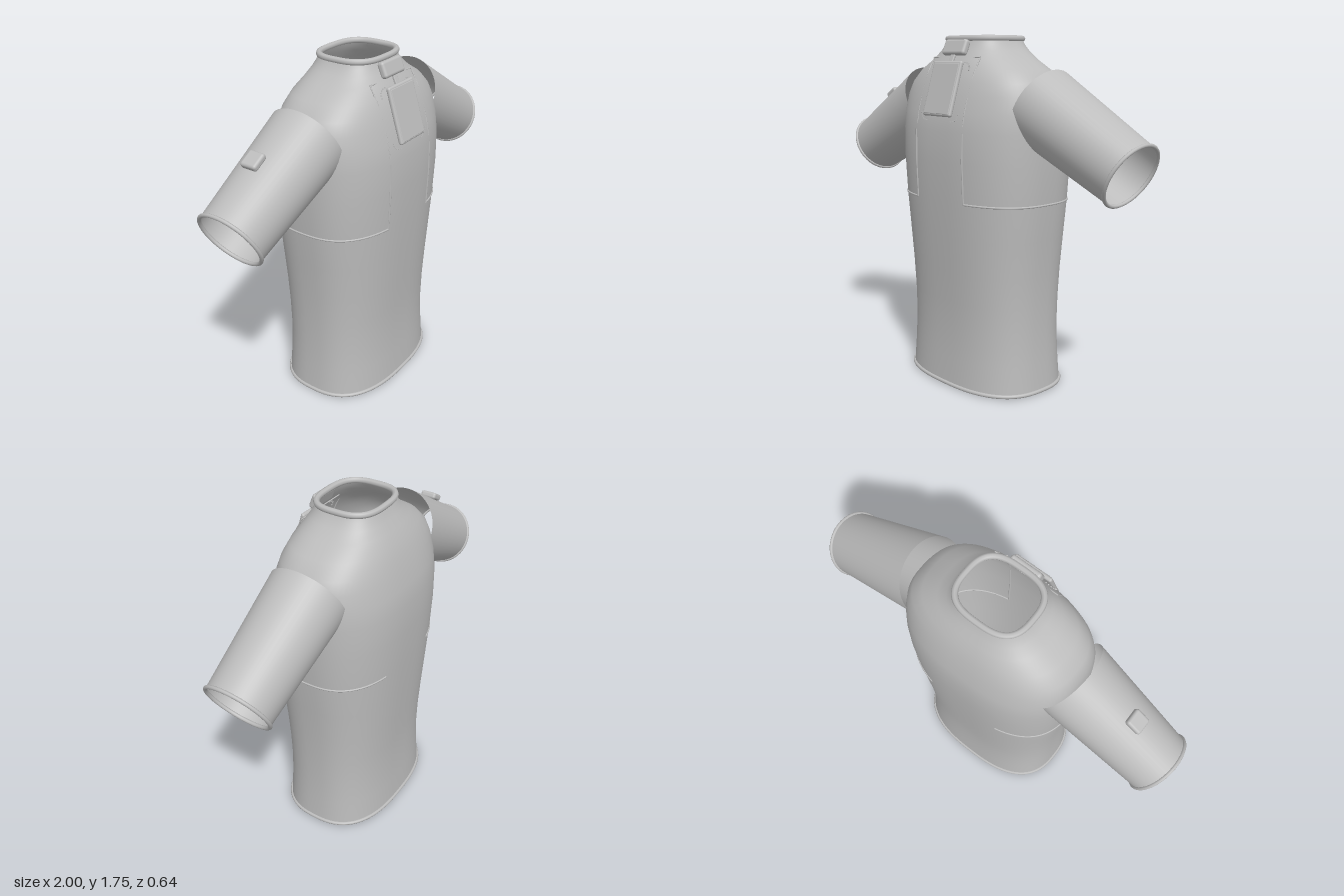
import * as THREE from 'three';
import { RoundedBoxGeometry } from 'three/addons/geometries/RoundedBoxGeometry.js';

// Torso sections: height, half width, half depth, squareness
const RINGS = [
  [0.01, 0.422, 0.292, 2.6], [0.15, 0.412, 0.283, 2.6], [0.3, 0.406, 0.277, 2.6], [0.45, 0.408, 0.281, 2.6],
  [0.6, 0.414, 0.29, 2.6], [0.78, 0.429, 0.301, 2.6], [0.96, 0.446, 0.311, 2.6], [1.15, 0.457, 0.318, 2.6],
  [1.3, 0.46, 0.315, 2.6], [1.39, 0.46, 0.3, 2.6], [1.47, 0.45, 0.278, 2.6], [1.53, 0.422, 0.26, 2.6],
  [1.59, 0.36, 0.236, 2.6], [1.64, 0.275, 0.208, 2.6], [1.68, 0.222, 0.184, 2.7], [1.71, 0.193, 0.168, 2.8],
  [1.74, 0.178, 0.156, 2.9],
];

const fabric = new THREE.MeshStandardMaterial({ color: 0xbcbcbc, side: THREE.DoubleSide });
fabric.name = 'grey fabric';

function section(y) {
  let i = 0;
  while (i < RINGS.length - 2 && RINGS[i + 1][0] < y) i++;
  const [p, q] = [RINGS[i], RINGS[i + 1]];
  const f = (y - p[0]) / (q[0] - p[0]);
  return p.map((v, k) => v + (q[k] - v) * f);
}

// Point on a rounded-square outline
function outline(t, [y, a, b, n]) {
  const pw = (v) => Math.sign(v) * Math.abs(v) ** (2 / n);
  return new THREE.Vector3(a * pw(Math.cos(t)), y, b * pw(Math.sin(t)));
}

// Front surface depth at x, y
function frontZ(x, y) {
  const [, a, b, n] = section(y);
  return b * (1 - Math.min(1, Math.abs(x / a)) ** n) ** (1 / n);
}

function add(parent, name, geometry, pos = [0, 0, 0], rot = [0, 0, 0]) {
  const mesh = new THREE.Mesh(geometry, fabric);
  mesh.name = name;
  mesh.position.set(...pos);
  mesh.rotation.set(...rot);
  parent.add(mesh);
  return mesh;
}

function tube(points, radius, closed = false, segments = 48) {
  return new THREE.TubeGeometry(new THREE.CatmullRomCurve3(points, closed), segments, radius, 8, closed);
}

const box = (w, h, d, r) => new RoundedBoxGeometry(w, h, d, 4, r);

function torsoGeometry(sides = 72) {
  const positions = [], index = [];
  RINGS.forEach((ring, i) => {
    for (let j = 0; j < sides; j++) {
      positions.push(...outline((j / sides) * Math.PI * 2, ring).toArray());
      if (i === RINGS.length - 1) continue;
      const a = i * sides + j, b = i * sides + (j + 1) % sides;
      index.push(a, a + sides, b, b, a + sides, b + sides);
    }
  });
  const g = new THREE.BufferGeometry();
  g.setAttribute('position', new THREE.Float32BufferAttribute(positions, 3));
  g.setIndex(index);
  g.computeVertexNormals();
  return g;
}

function loop(ring, radius) {
  const pts = Array.from({ length: 64 }, (_, j) => outline((j / 64) * Math.PI * 2, ring));
  return tube(pts, radius, true, 96);
}

export function createModel() {
  const model = new THREE.Group();
  model.name = 'shirt';

  add(model, 'torso', torsoGeometry());
  add(model, 'collar', loop([1.74, 0.177, 0.155, 2.9], 0.015));
  add(model, 'hem', loop([0.01, 0.422, 0.292, 2.6], 0.01));

  for (const s of [1, -1]) {
    const side = s > 0 ? 'left' : 'right';

    // Open tapered sleeve with a rolled cuff
    const sleeve = new THREE.Group();
    sleeve.name = side + 'Sleeve';
    const inner = new THREE.Vector3(s * 0.395, 1.425, 0);
    const outer = new THREE.Vector3(s * 0.92, 1.15, 0);
    const length = inner.distanceTo(outer);
    sleeve.position.copy(inner).lerp(outer, 0.5);
    sleeve.quaternion.setFromUnitVectors(new THREE.Vector3(0, 1, 0), outer.clone().sub(inner).normalize());
    add(sleeve, side + 'SleeveTube', new THREE.CylinderGeometry(0.158, 0.192, length, 48, 1, true));
    add(sleeve, side + 'Cuff', new THREE.TorusGeometry(0.158, 0.009, 10, 48), [0, length / 2, 0], [Math.PI / 2, 0, 0]);
    model.add(sleeve);

    // Waist seam around the side
    const waist = [];
    for (let i = 0; i <= 24; i++) {
      const p = outline(1.276 - (i / 24) * 2.486, section(0.96));
      waist.push(p.setX(p.x * s));
    }
    add(model, side + 'WaistSeam', tube(waist, 0.005));

    // Front seam, lower run on the body and upper run along the panel edge
    const lower = [], upper = [];
    for (let i = 0; i <= 10; i++) {
      const y = 0.96 + i * 0.034, v = 1.33 + i * 0.032;
      lower.push(new THREE.Vector3(s * 0.172, y, frontZ(0.172, y)));
      const lift = i / 10;
      const z = frontZ(0.172, v) * (1 - lift) + (frontZ(0, v) - 0.015) * lift;
      upper.push(new THREE.Vector3(s * 0.17, v, z));
    }
    add(model, side + 'FrontSeam', tube(lower, 0.005));
    add(model, side + 'PanelSeam', tube(upper, 0.003));

    // Stitches at the pocket corners
    for (const top of [0, 1]) {
      for (let i = 0; i < 6; i++) {
        const t = (i / 5) * Math.PI / 2;
        const x = s * (0.09 + 0.045 * Math.sin(t));
        const y = top ? 1.59 + 0.035 * Math.cos(t) : 1.385 - 0.035 * Math.cos(t);
        add(model, 'stitch', new THREE.BoxGeometry(0.007, 0.005, 0.006), [x, y, frontZ(x, y)], [-0.3, 0, 0]);
      }
    }
  }

  // Chest panel details
  add(model, 'panelTopSeam', tube([-0.17, 0, 0.17].map((x) => new THREE.Vector3(x, 1.65, 0.187)), 0.003));
  add(model, 'chestPocket', box(0.205, 0.272, 0.022, 0.01), [-0.002, 1.502, 0.274], [-0.3, 0, 0]);
  add(model, 'pocketFace', box(0.185, 0.25, 0.008, 0.003), [-0.002, 1.503, 0.283], [-0.3, 0, 0]);
  add(model, 'clipStem', box(0.03, 0.06, 0.012, 0.004), [-0.002, 1.645, 0.213], [-0.45, 0, 0]);
  add(model, 'collarClip', box(0.16, 0.078, 0.036, 0.014), [-0.002, 1.696, 0.188], [-0.4, 0, 0]);

  // Small module on the right sleeve
  add(model, 'sleeveModule', box(0.085, 0.034, 0.085, 0.013), [-0.75, 1.451, 0], [0, 0, 0.53]);

  return model;
}
